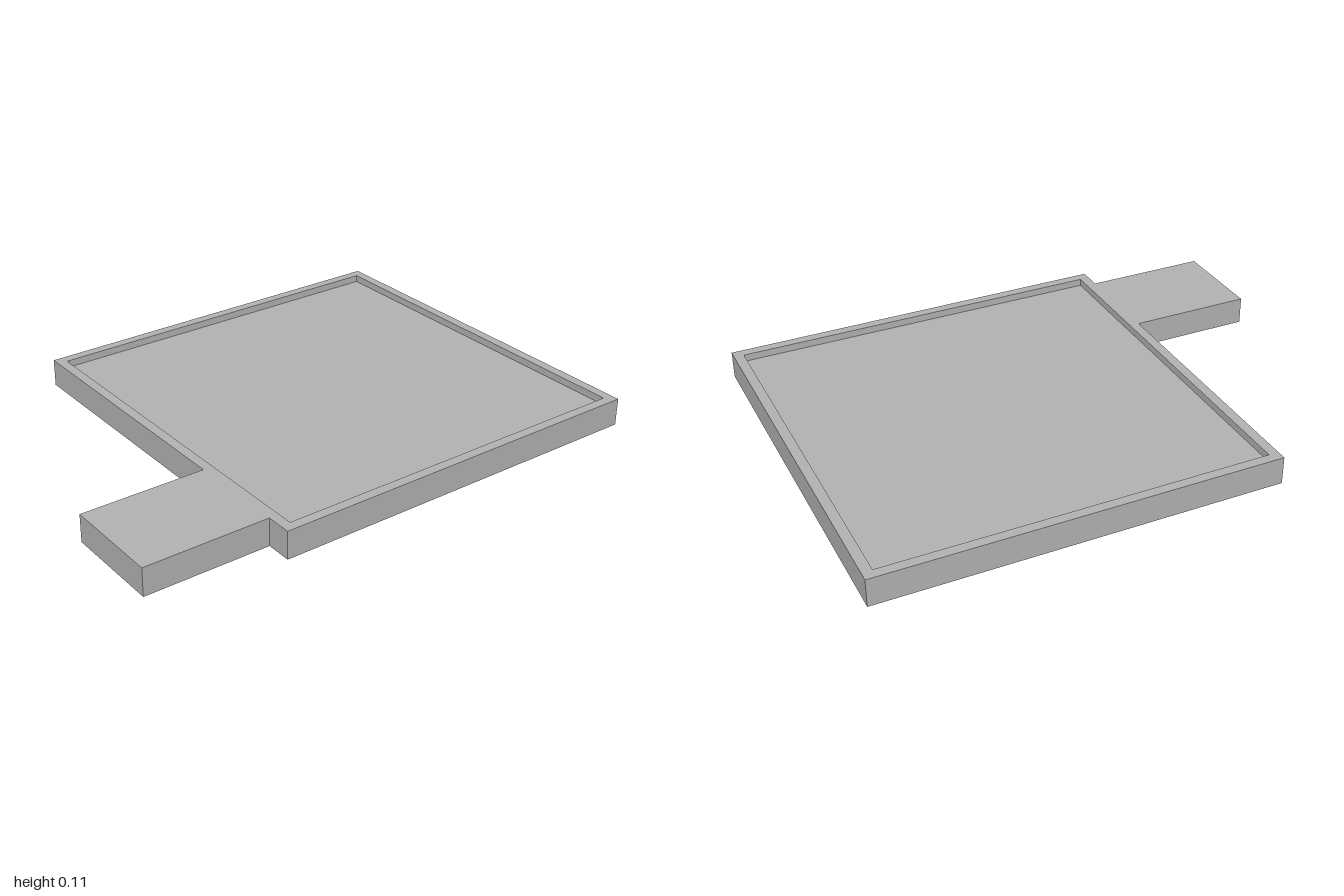
import * as THREE from 'three';

const HEIGHT = 0.107, RECESS = 0.028;

// Plan outline: square tray with an off-centre tab, as [x, z] points
const OUTLINE = [
  [-0.762, 0.522], [0.284, 0.522], [0.284, 1], [0.664, 1],
  [0.664, 0.522], [0.762, 0.522], [0.762, -1], [-0.762, -1],
];
// Inner edge of the rim
const RECESS_EDGE = [[-0.724, 0.484], [0.724, 0.484], [0.724, -0.962], [-0.724, -0.962]];

const toPoints = (list) => list.map(([x, z]) => new THREE.Vector2(x, -z));

// Extrudes a plan shape upward from y
function slab(name, shape, y, depth, material) {
  const geometry = new THREE.ExtrudeGeometry(shape, { depth, bevelEnabled: false });
  geometry.rotateX(-Math.PI / 2);
  geometry.translate(0, y, 0);
  const mesh = new THREE.Mesh(geometry, material);
  mesh.name = name;
  return mesh;
}

export function createModel() {
  const model = new THREE.Group();
  model.name = 'trayWithTab';
  const grey = new THREE.MeshStandardMaterial({ color: 0xb2b2b2 });
  grey.name = 'grey';

  // Solid base, whose top is the floor of the recess
  const base = new THREE.Shape(toPoints(OUTLINE));
  model.add(slab('base', base, 0, HEIGHT - RECESS, grey));

  // Raised rim and top of the tab, open over the recess
  const rim = new THREE.Shape(toPoints(OUTLINE));
  rim.holes.push(new THREE.Path(toPoints(RECESS_EDGE)));
  model.add(slab('rimAndTab', rim, HEIGHT - RECESS, RECESS, grey));

  return model;
}
